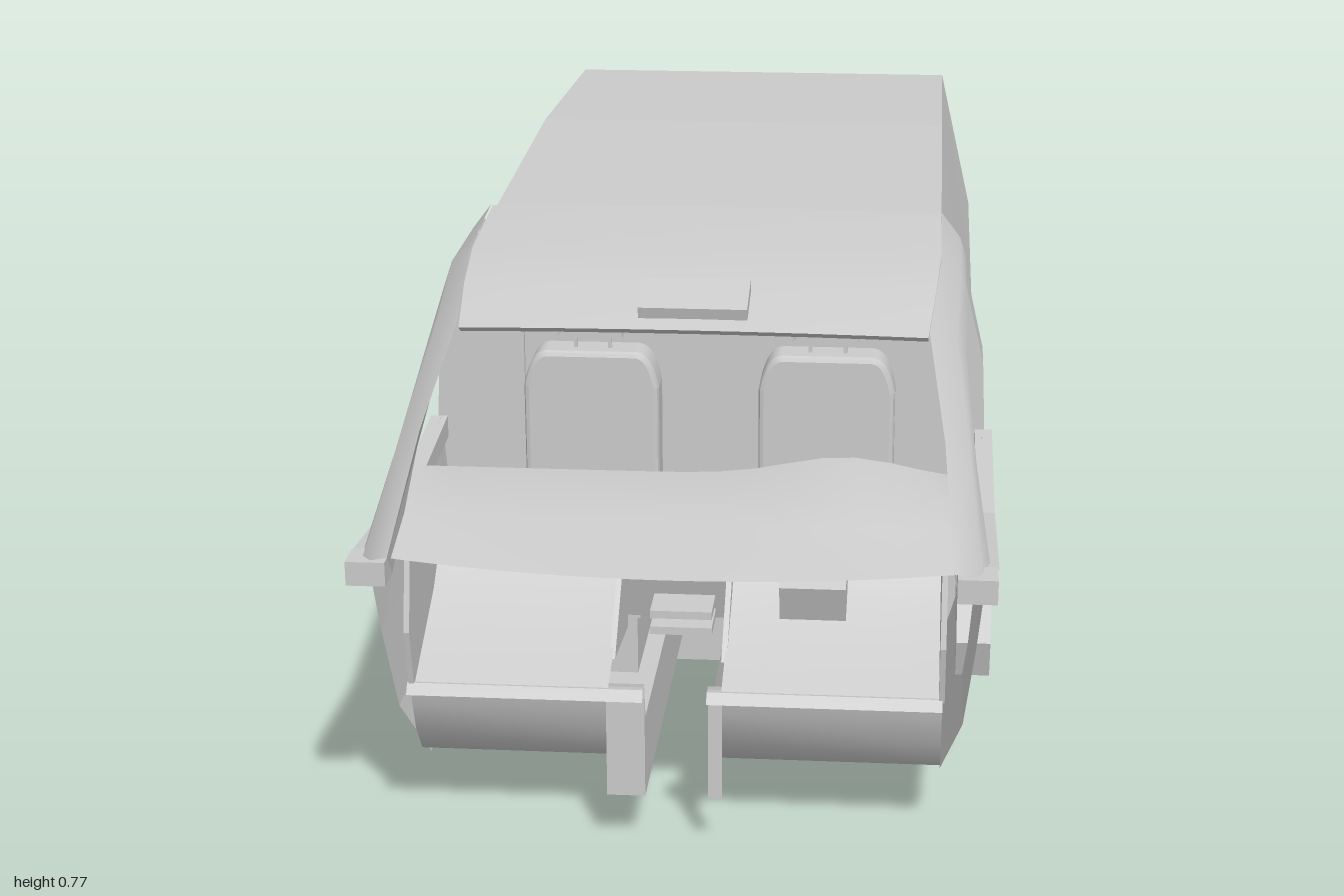
import * as THREE from 'three';

const smooth = new THREE.MeshStandardMaterial({ color: 0xcccccc, side: THREE.DoubleSide });
const flat = new THREE.MeshStandardMaterial({ color: 0xcccccc, side: THREE.DoubleSide, flatShading: true });

// Surface stretched over rows of [x, y, z] points
function sheet(name, rows, material = flat) {
  const n = rows[0].length, index = [];
  for (let r = 0; r < rows.length - 1; r++) {
    for (let c = 0; c < n - 1; c++) {
      const a = r * n + c;
      index.push(a, a + n, a + 1, a + 1, a + n, a + n + 1);
    }
  }
  const geo = new THREE.BufferGeometry();
  geo.setAttribute('position', new THREE.Float32BufferAttribute(rows.flat(2), 3));
  geo.setIndex(index);
  geo.computeVertexNormals();
  const mesh = new THREE.Mesh(geo, material);
  mesh.name = name;
  return mesh;
}

// Box given by its lower and upper corners
function box(name, [x0, y0, z0], [x1, y1, z1]) {
  const mesh = new THREE.Mesh(new THREE.BoxGeometry(x1 - x0, y1 - y0, z1 - z0), flat);
  mesh.position.set((x0 + x1) / 2, (y0 + y1) / 2, (z0 + z1) / 2);
  mesh.name = name;
  return mesh;
}

// Side-on outline of [z, y] points, thickened from x0 to x1
function sidePlate(name, outline, x0, x1) {
  const shape = new THREE.Shape(outline.map(([z, y]) => new THREE.Vector2(-z, y)));
  const geo = new THREE.ExtrudeGeometry(shape, { depth: x1 - x0, bevelEnabled: false });
  geo.rotateY(Math.PI / 2).translate(x0, 0, 0);
  const mesh = new THREE.Mesh(geo, flat);
  mesh.name = name;
  return mesh;
}

const steps = (a, b, n) => Array.from({ length: n + 1 }, (_, i) => a + (b - a) * i / n);

// Cargo shell with bevelled shoulders and boxed rear wheel recesses
function cargoBody() {
  const group = new THREE.Group();
  group.name = 'cargoBody';
  // z, roof height, recess height, floor height, lower half width
  const stations = [
    [0.235, 0.75, 0.285, 0, 0.42], [-0.33, 0.768, 0.285, 0.03, 0.42],
    [-0.33, 0.768, 0.285, 0.03, 0.25], [-0.42, 0.77, 0.287, 0.033, 0.25], [-1, 0.745, 0.3, 0.05, 0.25],
  ];
  const half = ([z, top, recess, floor, w]) => [
    [0.36, top, z < -0.9 ? -0.985 : z], [0.42, 0.48, z], [0.42, recess, z], [w, recess, z], [w, floor, z]];
  const flip = ([x, y, z]) => [-x, y, z];
  const loops = stations.map(s => {
    const h = half(s);
    return [...h, ...h.map(flip).reverse(), h[0]];
  });
  group.add(sheet('cargoShell', loops));
  const cap = s => half(s).map(p => [flip(p), p]);
  group.add(sheet('bulkhead', cap(stations[0])), sheet('rearWall', cap(stations[4])));
  return group;
}

// One side of the cab, built on +x
function cabSide() {
  const side = new THREE.Group();
  // roof rail running down into the windscreen pillar
  side.add(sheet('pillarRail', [
    [[0.36, 0.77, 0.2], [0.39, 0.73, 0.2], [0.4, 0.70, 0.2]],
    [[0.36, 0.75, 0.42], [0.39, 0.73, 0.40], [0.4, 0.70, 0.40]],
    [[0.345, 0.70, 0.62], [0.385, 0.68, 0.58], [0.4, 0.65, 0.57]],
    [[0.37, 0.595, 0.8], [0.405, 0.575, 0.77], [0.415, 0.55, 0.75]],
    [[0.385, 0.475, 0.985], [0.425, 0.46, 0.965], [0.44, 0.43, 0.93]],
  ], smooth));
  side.add(sheet('pillarInner', [
    [[0.345, 0.70, 0.62], [0.37, 0.66, 0.57]],
    [[0.37, 0.595, 0.8], [0.385, 0.55, 0.75]],
    [[0.385, 0.475, 0.985], [0.39, 0.43, 0.93]],
  ]));
  // upright behind the door
  const upright = [[0.085, 0.385], [0.19, 0.415], [0.45, 0.435], [0.56, 0.43], [0.73, 0.39]];
  side.add(sheet('doorPillar', upright.map(([y, x]) =>
    [[x - 0.03, y, 0.235], [x, y, 0.235], [x, y, 0.32], [x - 0.03, y, 0.32]])));
  side.add(sheet('bodyFlange', [[0.01, 0.425], [0.48, 0.428], [0.755, 0.37]].map(([y, x]) =>
    [[x, y, 0.215], [x, y, 0.24], [x - 0.035, y, 0.24]])));
  // door lining
  const lining = [[0.085, 0.375, 0.78], [0.19, 0.405, 0.85], [0.32, 0.42, 0.88], [0.43, 0.43, 0.9]];
  side.add(sheet('doorLining', lining.map(([y, x, front]) =>
    [0.235, 0.33, 0.62, front].map((z, i) => [x, y + (y > 0.4 ? [0.02, 0.02, -0.01, 0][i] : 0), z]))));
  side.add(sidePlate('doorPocket', [[0.7, 0.25], [0.66, 0.32], [0.58, 0.32], [0.56, 0.27],
    [0.47, 0.29], [0.5, 0.22], [0.55, 0.19], [0.68, 0.19]], 0.395, 0.445));
  side.add(sidePlate('doorBelt', [[0.32, 0.45], [0.62, 0.425], [0.93, 0.46], [0.97, 0.43],
    [0.9, 0.415], [0.62, 0.395], [0.32, 0.415]], 0.42, 0.447));
  side.add(box('pillarFoot', [0.39, 0.43, 0.93], [0.445, 0.465, 0.98]));
  side.add(box('seatBelt', [0.305, 0.49, 0.24], [0.322, 0.70, 0.25]));
  return side;
}

// Dashboard top, hollow lower shells and centre recess
function dashboard() {
  const group = new THREE.Group();
  group.name = 'dashboard';
  const crest = x => 0.505 + 0.03 * Math.exp(-(((x - 0.23) / 0.12) ** 2));
  const top = x => [
    [x, 0.46, 1 - 0.05 * (x / 0.39) ** 2], [x, 0.485, 0.85], [x, crest(x), 0.7],
    [x, crest(x) - 0.03, 0.635], [x, 0.43, 0.655]];
  const lower = x => [
    [x, 0.43, 0.655], [x, 0.38, 0.68], [x, 0.33, 0.74], [x, 0.28, 0.83], [x, 0.25, 0.91]];
  group.add(sheet('dashTop', steps(-0.39, 0.39, 16).map(top), smooth));
  group.add(sheet('dashLowerRight', steps(-0.375, -0.095, 4).map(lower), smooth));
  group.add(sheet('dashLowerLeft', steps(0.065, 0.375, 4).map(lower), smooth));
  group.add(sheet('dashCentre', [-0.095, 0.065].map(x => [[x, 0.43, 0.655], [x, 0.38, 0.72], [x, 0.27, 0.68]])));
  const end = [[0.9, 0.46], [0.7, 0.50], [0.655, 0.43], [0.68, 0.38], [0.74, 0.33], [0.91, 0.25], [0.93, 0.34]];
  for (const x of [-0.378, 0.37]) group.add(sidePlate('dashEnd', end, x, x + 0.008));
  for (const x of [-0.1, 0.06]) {
    group.add(sidePlate('consoleSide', [[0.655, 0.43], [0.72, 0.38], [0.84, 0.27], [0.68, 0.25]], x, x + 0.008));
  }
  for (const y of [0.275, 0.3]) group.add(box('consoleShelf', [-0.05, y, 0.68], [0.04, y + 0.012, 0.76]));
  // steering column
  const column = box('steeringColumn', [0.14, 0.34, 0.65], [0.235, 0.40, 0.80]);
  column.rotation.x = 0.35;
  group.add(column, box('columnCowl', [0.13, 0.43, 0.63], [0.24, 0.46, 0.75]));
  return group;
}

// Floor pans with curved toe boards either side of an open tunnel
function floorPan() {
  const group = new THREE.Group();
  group.name = 'floorPan';
  const profile = [[0.085, 0.235], [0.085, 0.76], [0.11, 0.82], [0.16, 0.86], [0.21, 0.88], [0.25, 0.89]];
  for (const [x0, x1] of [[-0.38, -0.045], [0.045, 0.375]]) {
    group.add(sheet('footwell', [x0, x1].map(x => profile.map(([y, z]) => [x, y, z])), smooth));
    group.add(sheet('toeLip', [x0, x1].map(x => [[x, 0.25, 0.89], [x, 0.255, 0.91], [x, 0.24, 0.92]])));
  }
  for (const [x, inner] of [[-0.1, -0.045], [0.065, 0.045]]) {
    group.add(sheet('tunnelFront', [[0.08, 0.89], [0.255, 0.89]].map(([y, z]) => [[x, y, z], [inner, y, z]])));
    group.add(sheet('tunnelWall', [[0.08, 0.235], [0.2, 0.235]].map(([y, z]) => [[inner, y, z], [inner, y, 0.89]])));
  }
  group.add(box('tunnelTop', [-0.045, 0.2, 0.235], [0.045, 0.215, 0.5]));
  return group;
}

// Seat with a wedge-shaped headrest
function seat(name, x) {
  const group = new THREE.Group();
  group.name = name;
  const outline = new THREE.Shape();
  outline.moveTo(-0.1, 0.2).lineTo(0.1, 0.2).lineTo(0.1, 0.5);
  outline.quadraticCurveTo(0.09, 0.55, 0.07, 0.55).lineTo(-0.07, 0.55);
  outline.quadraticCurveTo(-0.09, 0.55, -0.1, 0.5);
  const back = new THREE.Mesh(new THREE.ExtrudeGeometry(outline,
    { depth: 0.05, bevelSize: 0.008, bevelThickness: 0.008, bevelSegments: 2 }), flat);
  back.name = 'seatBack';
  back.position.z = 0.25;
  const wedge = new THREE.Shape([[-0.055, 0.58], [0.05, 0.58], [0.035, 0.668], [0.02, 0.66]]
    .map(p => new THREE.Vector2(...p)));
  const rest = new THREE.Mesh(new THREE.ExtrudeGeometry(wedge, { depth: 0.04, bevelEnabled: false }), flat);
  rest.name = 'headrest';
  rest.position.z = 0.26;
  group.add(back, rest, box('seatCushion', [-0.1, 0.2, 0.29], [0.1, 0.28, 0.53]),
    box('seatBase', [-0.09, 0.085, 0.27], [0.09, 0.2, 0.48]));
  for (const px of [-0.03, 0.025]) group.add(box('headrestPost', [px, 0.55, 0.275], [px + 0.006, 0.58, 0.281]));
  group.position.x = x;
  return group;
}

export function createModel() {
  const model = new THREE.Group();
  model.name = 'vanInterior';
  model.add(cargoBody(), dashboard(), floorPan(), seat('rightSeat', -0.19), seat('leftSeat', 0.185));

  const left = cabSide(), right = cabSide();
  left.name = 'leftCabSide';
  right.name = 'rightCabSide';
  right.scale.x = -1;
  model.add(left, right);

  // crowned cab roof, sloping down to the windscreen header
  const roof = [[0.2, 0.772, 0.36], [0.4, 0.757, 0.36], [0.52, 0.735, 0.353], [0.635, 0.70, 0.343]];
  model.add(sheet('cabRoof', roof.map(([z, y, w]) =>
    steps(-1, 1, 8).map(t => [t * w, y - 0.008 * t * t, z - 0.015 * t * t])), smooth));
  model.add(sheet('roofHeader', [[0.70, 0.635], [0.69, 0.62]].map(([y, z]) =>
    steps(-1, 1, 8).map(t => [t * 0.343, y - 0.008 * t * t, z - 0.015 * t * t]))));
  const console = box('roofConsole', [-0.08, 0.715, 0.53], [0.08, 0.738, 0.61]);
  console.rotation.x = 0.3;
  model.add(console);
  return model;
}
